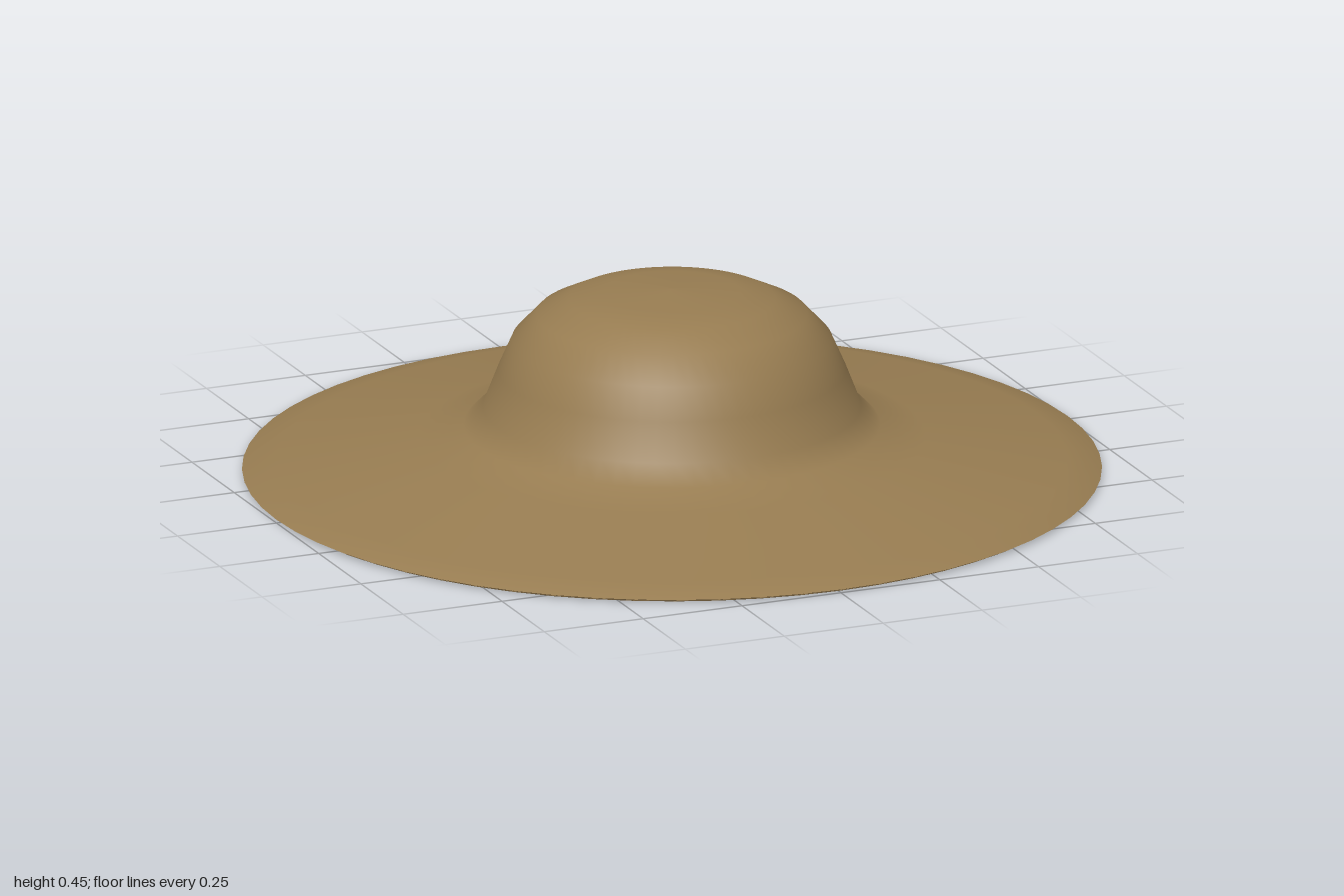
import * as THREE from 'three';

export function createModel() {
  const hat = new THREE.Group();
  hat.name = 'hat';
  const felt = new THREE.MeshStandardMaterial({ color: 0x977c51 });
  felt.name = 'tan felt';

  // Each surface is turned separately so the seams between them stay crisp.
  const turn = (name, profile) => {
    const points = profile.map(([r, y]) => new THREE.Vector2(r, y));
    const mesh = new THREE.Mesh(new THREE.LatheGeometry(points, 64), felt);
    mesh.name = name;
    hat.add(mesh);
  };

  // Hollow inside of the crown, from its top down to the head opening
  turn('crownLining', [
    [0, 0.385], [0.14, 0.378], [0.22, 0.36], [0.28, 0.325],
    [0.32, 0.27], [0.35, 0.19], [0.374, 0.095],
  ]);

  // Sloping underside of the brim, from the opening out to the rim
  turn('brimUnderside', [[0.374, 0.095], [0.6, 0.06], [0.985, 0]]);

  // Outside: rolled rim, brim, flare and rounded crown
  turn('brimAndCrown', [
    [0.985, 0], [1, 0.008], [0.92, 0.028], [0.59, 0.086], [0.485, 0.115],
    [0.44, 0.16], [0.405, 0.25], [0.372, 0.325], [0.315, 0.386],
    [0.24, 0.422], [0.16, 0.438], [0, 0.446],
  ]);

  return hat;
}
